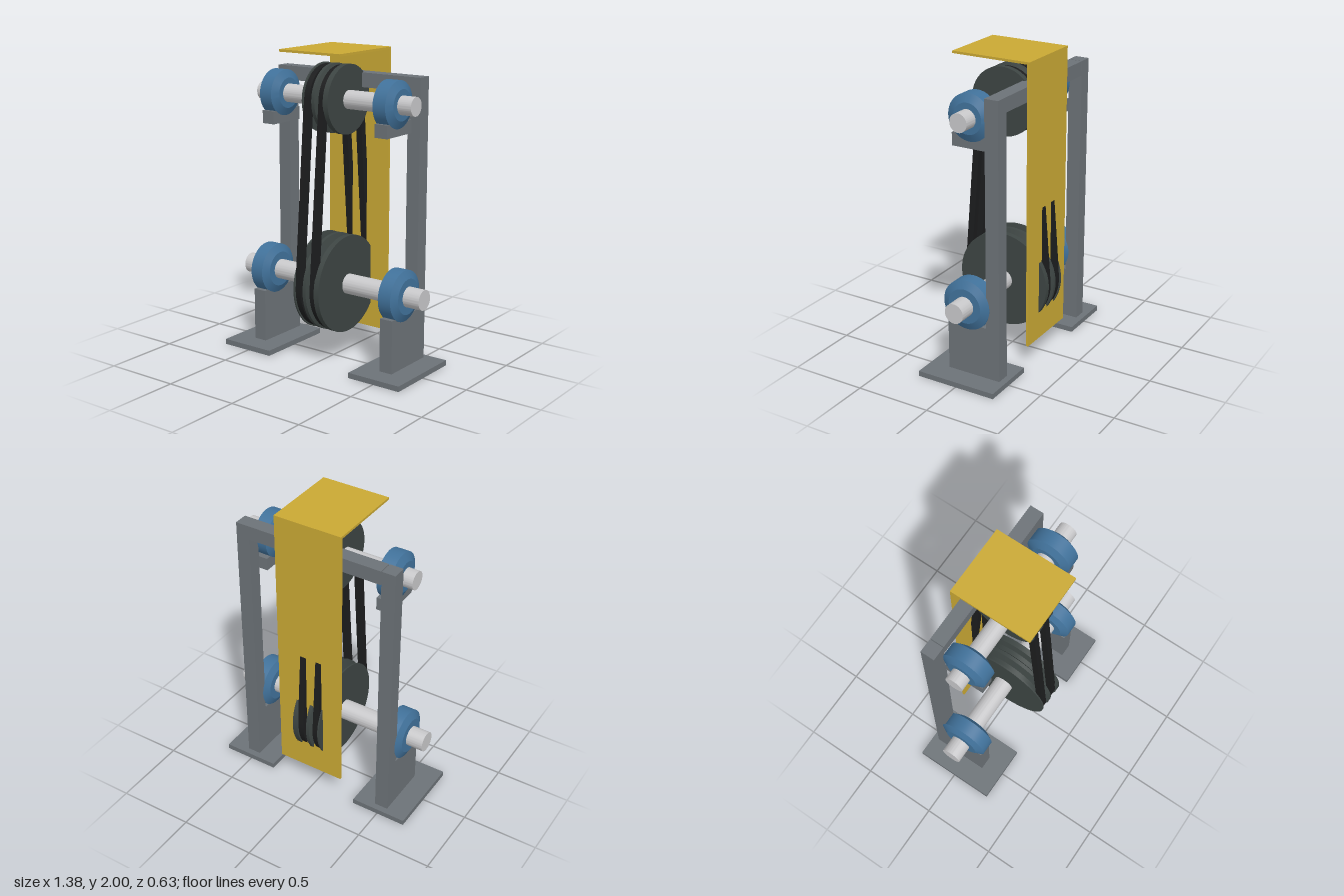
import * as THREE from 'three';
import { toCreasedNormals } from 'three/addons/utils/BufferGeometryUtils.js';

const material = (name, color) => new THREE.MeshStandardMaterial({ name, color });

export function createModel() {
  const root = new THREE.Group();
  root.name = 'beltDrive';
  const steel = material('frame grey', 0x6c7277);
  const bright = material('shaft silver', 0xc8c8ca);
  const blue = material('bearing blue', 0x41729b);
  const dark = material('pulley charcoal', 0x3d4543);
  const rubber = material('belt black', 0x1c1d1e);
  const gold = material('guard yellow', 0xc9a834);

  const lowY = 0.507, highY = 1.69;
  const lowR = 0.315, highR = 0.218;

  const add = (name, geometry, mat) => {
    const mesh = new THREE.Mesh(geometry, mat);
    mesh.name = name;
    root.add(mesh);
    return mesh;
  };
  // box given by its limits on each axis
  const box = (name, mat, [x0, x1], [y0, y1], [z0, z1]) =>
    add(name, new THREE.BoxGeometry(x1 - x0, y1 - y0, z1 - z0), mat)
      .position.set((x0 + x1) / 2, (y0 + y1) / 2, (z0 + z1) / 2);
  // solid turned about the x axis from [x, radius] pairs
  const turned = (name, mat, y, profile, x = 0) => {
    const points = profile.map(([px, r]) => new THREE.Vector2(r, px));
    const geometry = new THREE.LatheGeometry(points, 64).rotateZ(-Math.PI / 2);
    add(name, toCreasedNormals(geometry, 0.4), mat).position.set(x, y, 0);
  };

  // frame: feet, uprights, bearing pedestals and brackets
  for (const side of [-1, 1]) {
    const label = side > 0 ? 'left' : 'right';
    const span = (a, b) => (side > 0 ? [a, b] : [-b - 0.005, -a - 0.005]);
    box(label + 'Foot', steel, span(0.315, 0.69), [0, 0.035], [-0.273, 0.273]);
    box(label + 'Upright', steel, span(0.457, 0.547), [0.035, 1.842], [-0.232, -0.14]);
    box(label + 'Pedestal', steel, span(0.457, 0.547), [0.035, 0.38], [-0.14, 0.137]);
    const bx = side > 0 ? 0.442 : -0.425;
    box(label + 'Bracket', steel, [bx - 0.045, bx + 0.045], [1.5, 1.583], [-0.14, 0.125]);

    // chamfered bearings
    const bearing = (name, x, y, R, r) => turned(name, blue, y,
      [[-0.071, 0], [-0.071, r], [-0.045, R], [0.045, R], [0.071, r], [0.071, 0]], x);
    bearing(label + 'LowerBearing', side > 0 ? 0.503 : -0.508, lowY, 0.164, 0.114);
    bearing(label + 'UpperBearing', bx - 0.001, highY, 0.148, 0.097);
  }
  box('topBeam', steel, [-0.457, 0.457], [1.75, 1.842], [-0.232, -0.14]);

  // shafts
  const shaft = (name, y, r, x0, x1) =>
    turned(name, bright, y, [[x0, 0], [x0, r], [x1, r], [x1, 0]]);
  shaft('lowerShaft', lowY, 0.065, -0.693, 0.69);
  shaft('upperShaft', highY, 0.059, -0.57, 0.608);

  // twin-groove pulleys
  const pulley = (name, y, R) => turned(name, dark, y, [
    [-0.08, 0], [-0.08, R], [-0.07, R], [-0.06, R - 0.055], [-0.028, R - 0.055],
    [-0.007, R], [0.016, R], [0.036, R - 0.055], [0.067, R - 0.055],
    [0.08, R], [0.117, R], [0.117, 0]]);
  pulley('lowerPulley', lowY, lowR);
  pulley('upperPulley', highY, highR);

  // belts: tangent loops around both pulleys
  const loop = (path, inset) => {
    const big = lowR - inset, small = highR - inset;
    const a = Math.asin((big - small) / (highY - lowY));
    path.absarc(0, highY, small, a, Math.PI - a, false);
    path.absarc(0, lowY, big, Math.PI - a, 2 * Math.PI + a, false);
    path.closePath();
    return path;
  };
  for (const [name, x] of [['rightBelt', -0.071], ['leftBelt', 0.041]]) {
    const outline = loop(new THREE.Shape(), 0.009);
    outline.holes.push(loop(new THREE.Path(), 0.052));
    const geometry = new THREE.ExtrudeGeometry(outline, { depth: 0.042, bevelEnabled: false, curveSegments: 32 });
    geometry.rotateY(Math.PI / 2);
    add(name, toCreasedNormals(geometry, 0.5), rubber).position.x = x;
  }

  // folded sheet guard
  box('guardBack', gold, [-0.212, 0.248], [0.152, 1.985], [-0.263, -0.247]);
  box('guardTop', gold, [-0.212, 0.248], [1.985, 2], [-0.263, 0.272]);
  return root;
}
